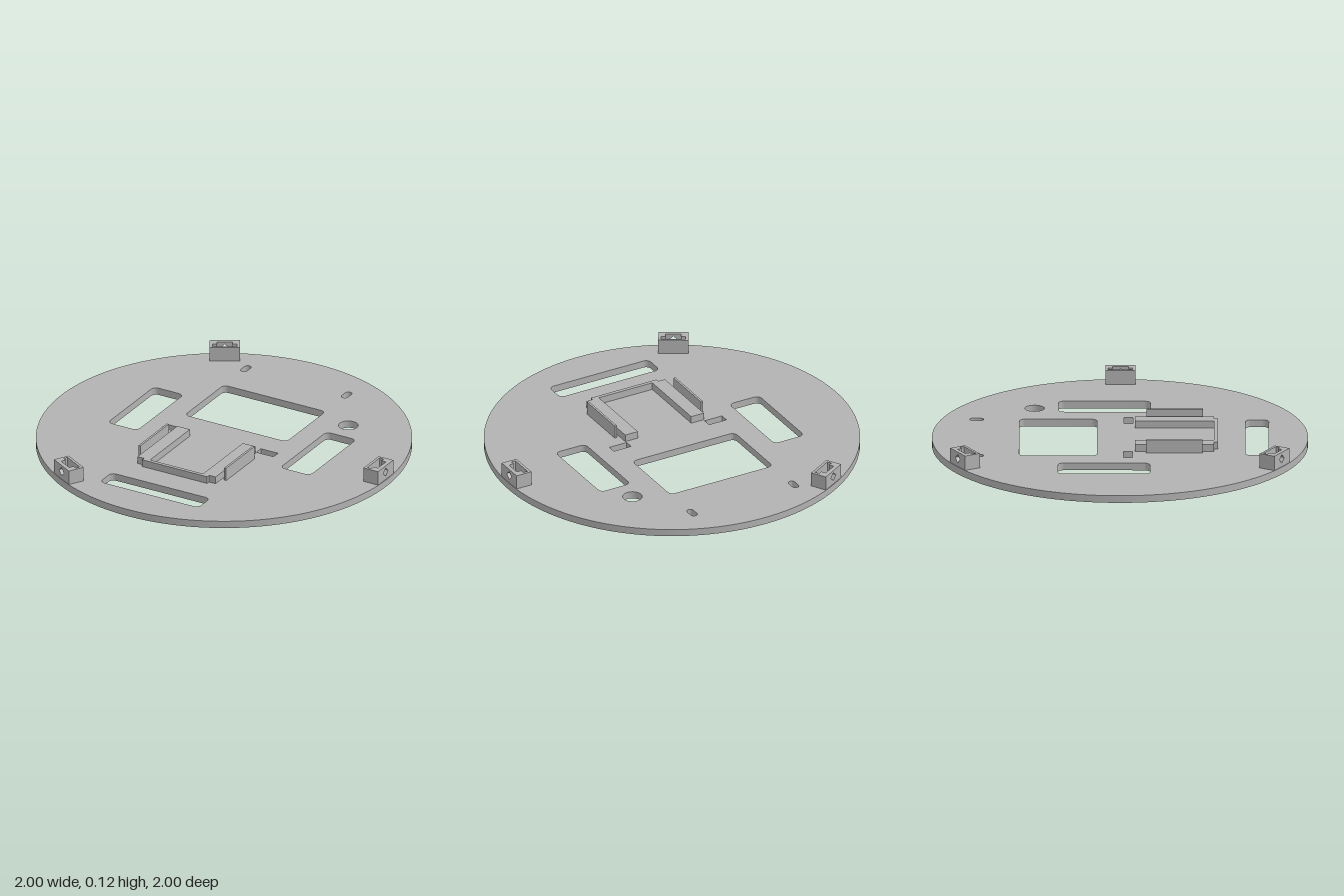
import * as THREE from 'three';
import { toCreasedNormals } from 'three/addons/utils/BufferGeometryUtils.js';

const PLATE_TOP = 0.04;

// Rounded rectangle hole given by its x and z ranges (shape y is -z)
function roundedHole(x0, x1, z0, z1, r) {
  const p = new THREE.Path();
  const a = -z1, b = -z0;
  if (r === 0) {
    return p.setFromPoints([[x0, a], [x1, a], [x1, b], [x0, b], [x0, a]].map(c => new THREE.Vector2(...c)));
  }
  p.moveTo(x0 + r, a);
  p.lineTo(x1 - r, a);
  p.absarc(x1 - r, a + r, r, -Math.PI / 2, 0, false);
  p.lineTo(x1, b - r);
  p.absarc(x1 - r, b - r, r, 0, Math.PI / 2, false);
  p.lineTo(x0 + r, b);
  p.absarc(x0 + r, b - r, r, Math.PI / 2, Math.PI, false);
  p.lineTo(x0, a + r);
  p.absarc(x0 + r, a + r, r, Math.PI, Math.PI * 1.5, false);
  return p;
}

function polygon(points, Type = THREE.Shape) {
  return new Type(points.map(([x, y]) => new THREE.Vector2(x, y)));
}

export function createModel() {
  const model = new THREE.Group();
  model.name = 'roundChassisPlate';
  const grey = new THREE.MeshStandardMaterial({ color: 0xb2b2b2 });
  grey.name = 'plastic grey';

  function add(parent, name, geometry) {
    const mesh = new THREE.Mesh(geometry, grey);
    mesh.name = name;
    parent.add(mesh);
    return mesh;
  }

  // Box given by its ranges, standing on the plate
  function addBlock(parent, name, x0, x1, z0, z1, top) {
    const h = top - PLATE_TOP;
    const mesh = add(parent, name, new THREE.BoxGeometry(x1 - x0, h, z1 - z0));
    mesh.position.set((x0 + x1) / 2, PLATE_TOP + h / 2, (z0 + z1) / 2);
  }

  // Round base plate with its cut-outs
  const disc = new THREE.Shape();
  disc.absarc(0, 0, 1, 0, Math.PI * 2, false);
  const cableHole = new THREE.Path();
  cableHole.absarc(0.5, 0.455, 0.052, 0, Math.PI * 2, false);
  disc.holes.push(
    cableHole,
    roundedHole(-0.313, 0.313, -0.535, -0.122, 0.03),
    roundedHole(-0.303, 0.303, 0.667, 0.79, 0.03),
    roundedHole(-0.622, -0.44, -0.328, 0.16, 0.03),
    roundedHole(0.44, 0.622, -0.328, 0.16, 0.03),
  );
  for (const s of [-1, 1]) {
    const x = s * 0.31, m = s * 0.291;
    disc.holes.push(roundedHole(x - 0.019, x + 0.019, -0.8, -0.725, 0.0185));
    disc.holes.push(roundedHole(m - 0.053, m + 0.053, 0.02, 0.068, 0));
  }
  const plate = new THREE.ExtrudeGeometry(disc, { depth: PLATE_TOP, bevelEnabled: false, curveSegments: 72 });
  plate.rotateX(-Math.PI / 2);
  add(model, 'basePlate', toCreasedNormals(plate, 0.5));

  // Battery cradle: two rails, two thin side walls and an end stop
  const cradle = new THREE.Group();
  cradle.name = 'cradle';
  for (const s of [-1, 1]) {
    const side = s > 0 ? 'left' : 'right';
    const block = (name, a, b, z0, z1, top) =>
      addBlock(cradle, side + name, Math.min(s * a, s * b), Math.max(s * a, s * b), z0, z1, top);
    block('Rail', 0.163, 0.24, 0.08, 0.5, 0.08);
    block('Wall', 0.258, 0.27, 0.14, 0.44, 0.113);
  }
  addBlock(cradle, 'endStop', -0.2, 0.2, 0.5, 0.52, 0.08);
  model.add(cradle);

  // Rim bracket: stepped pocket open at the top, closed by a pierced outer wall
  const height = 0.12 - PLATE_TOP;
  const half = [[0.905, 0.08], [0.972, 0.08], [0.972, 0.042], [0.945, 0.042], [0.945, 0.065], [0.92, 0.065]];
  const body = new THREE.ExtrudeGeometry(
    polygon([...half, ...half.map(([x, y]) => [x, -y]).reverse()]),
    { depth: height, bevelEnabled: false });
  body.rotateX(-Math.PI / 2).translate(0, PLATE_TOP, 0);

  const face = polygon([[-0.08, PLATE_TOP], [0.08, PLATE_TOP], [0.08, 0.12], [-0.08, 0.12]]);
  face.holes.push(polygon([[0, 0.059], [0.025, 0.083], [0, 0.107], [-0.025, 0.083]], THREE.Path));
  const wall = new THREE.ExtrudeGeometry(face, { depth: 0.023, bevelEnabled: false });
  wall.rotateY(Math.PI / 2).translate(0.972, 0, 0);

  for (let i = 0; i < 3; i++) {
    const bracket = new THREE.Group();
    bracket.name = 'rimBracket' + (i + 1);
    add(bracket, 'bracketBody', body);
    add(bracket, 'bracketOuterWall', wall);
    bracket.rotation.y = i * Math.PI * 2 / 3;
    model.add(bracket);
  }
  return model;
}
